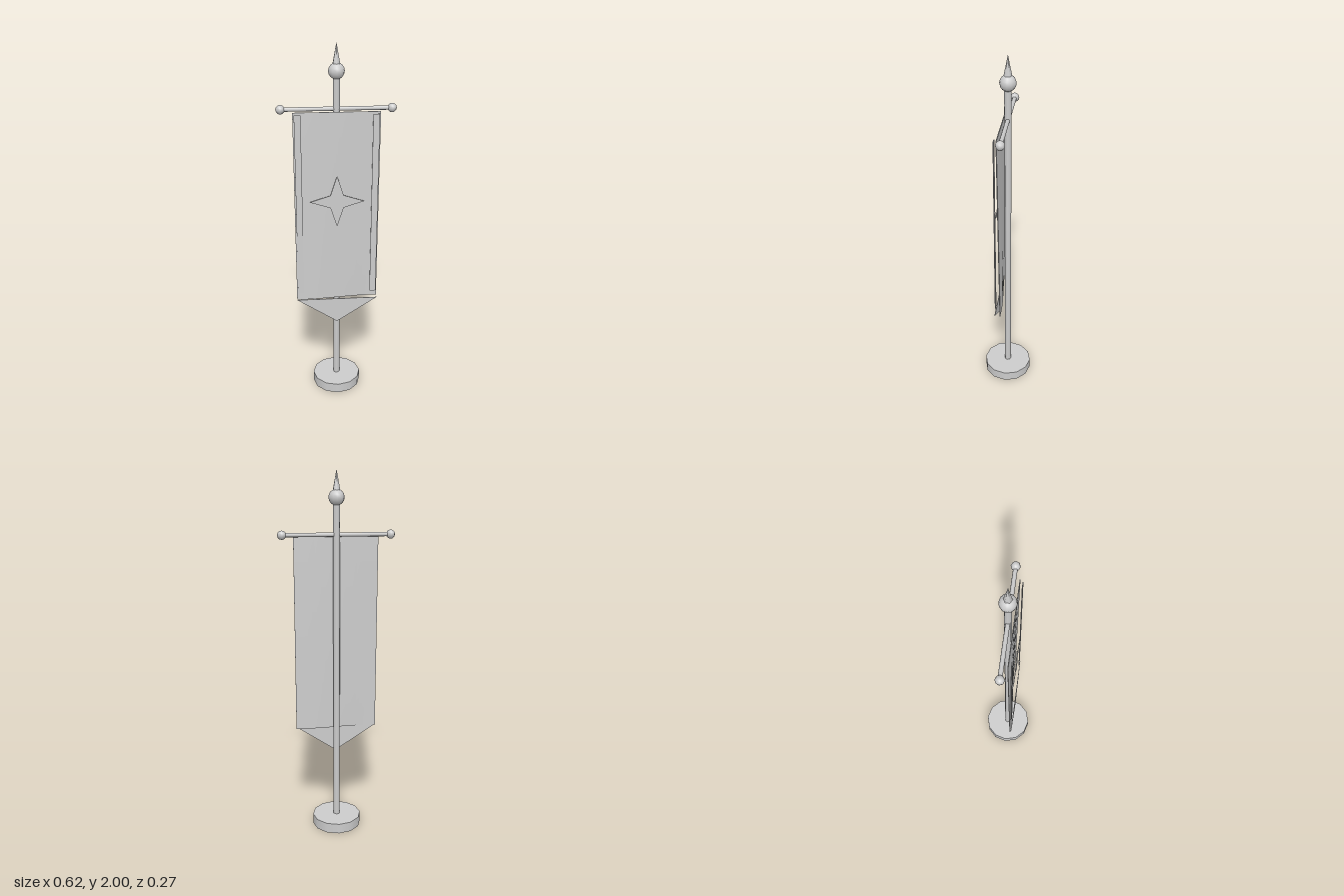
import * as THREE from 'three';

export function createModel() {
  const group = new THREE.Group();
  const grey = new THREE.MeshStandardMaterial({ color: 0xcccccc });
  grey.name = 'light grey';

  const add = (name, geometry, x = 0, y = 0, z = 0) => {
    const mesh = new THREE.Mesh(geometry, grey);
    mesh.name = name;
    mesh.position.set(x, y, z);
    group.add(mesh);
    return mesh;
  };

  // Thin plate cut from a list of x, y corners
  const plate = (corners, depth) => new THREE.ExtrudeGeometry(
    new THREE.Shape(corners.map(([x, y]) => new THREE.Vector2(x, y))),
    { depth, bevelEnabled: false });

  // Stand and pole
  add('base', new THREE.CylinderGeometry(0.137, 0.137, 0.057, 12), 0, 0.0285);
  add('pole', new THREE.CylinderGeometry(0.018, 0.018, 1.78, 8), 0, 0.945);

  // Ball and spike on top
  add('finialBall', new THREE.SphereGeometry(0.042, 12, 8), 0, 1.86);
  add('finialSpike', new THREE.ConeGeometry(0.023, 0.115, 6), 0, 1.9425);

  // Crossbar with end knobs
  add('crossbar', new THREE.CylinderGeometry(0.011, 0.011, 0.57, 8), 0, 1.67).rotation.z = Math.PI / 2;
  for (const side of [-1, 1]) {
    add(side > 0 ? 'leftKnob' : 'rightKnob', new THREE.SphereGeometry(0.024, 8, 6), side * 0.285, 1.67);
  }

  // Cloth, straight along the top and waving more towards the bottom
  const height = 1.073;
  const cloth = new THREE.BoxGeometry(0.45, height, 0.004, 8, 8, 1);
  const p = cloth.attributes.position;
  for (let i = 0; i < p.count; i++) {
    const sag = 0.5 - p.getY(i) / height;
    p.setZ(i, p.getZ(i) - 0.0125 * sag * Math.sin(8.5 * p.getX(i)));
  }
  cloth.computeVertexNormals();
  add('bannerCloth', cloth, 0, 1.1235, 0.028);

  // Pointed tail
  add('bannerTail', plate([[-0.225, 0.587], [0, 0.438], [0.225, 0.587]], 0.003), 0, 0, 0.0445);

  // Side trims
  for (const side of [-1, 1]) {
    add(side > 0 ? 'leftTrim' : 'rightTrim', new THREE.BoxGeometry(0.034, 1.02, 0.004), side * 0.201, 1.14, 0.043);
  }

  // Four-pointed star
  const star = [];
  for (let i = 0; i < 8; i++) {
    const r = i % 2 ? 0.05 : 0.145;
    const a = i * Math.PI / 4;
    star.push([r * Math.cos(a), r * Math.sin(a)]);
  }
  add('starEmblem', plate(star, 0.003), 0, 1.18, 0.0445);

  return group;
}
